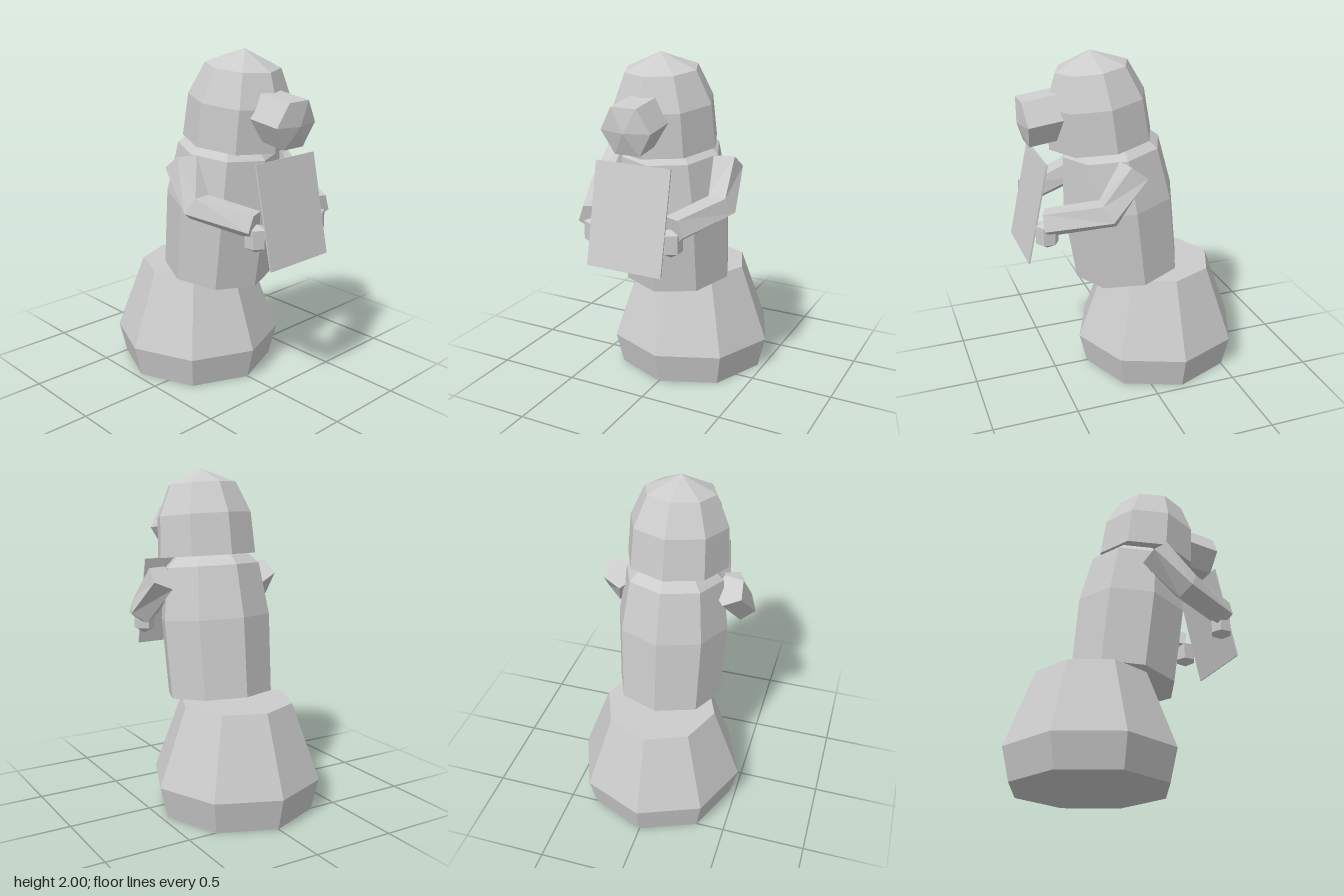
import * as THREE from 'three';

const stone = new THREE.MeshStandardMaterial({ color: 0xcccccc, flatShading: true });
stone.name = 'pale grey';

function add(parent, name, geometry, position = [0, 0, 0], tilt = 0) {
  const mesh = new THREE.Mesh(geometry, stone);
  mesh.name = name;
  mesh.position.set(...position);
  mesh.rotation.x = tilt;
  parent.add(mesh);
  return mesh;
}

// Faceted solid of revolution from [radius, height] pairs, bottom to top
function turned(profile, sides) {
  return new THREE.LatheGeometry(profile.map(([r, y]) => new THREE.Vector2(r, y)), sides);
}

// Five-sided limb through [x, y, z, radius] stations, flat side up
function limb(stations, sides = 5) {
  const points = stations.map(([x, y, z]) => new THREE.Vector3(x, y, z));
  const vertices = [], index = [];
  points.forEach((p, i) => {
    const before = points[Math.max(i - 1, 0)], after = points[Math.min(i + 1, points.length - 1)];
    const t = new THREE.Vector3();
    if (i > 0) t.add(p.clone().sub(before).normalize());
    if (i < points.length - 1) t.add(after.clone().sub(p).normalize());
    t.normalize();
    const u = new THREE.Vector3(0, 1, 0).addScaledVector(t, -t.y).normalize();
    const v = t.clone().cross(u);
    for (let k = 0; k < sides; k++) {
      const a = (k + 0.5) / sides * Math.PI * 2, r = stations[i][3];
      const q = p.clone().addScaledVector(u, r * Math.cos(a)).addScaledVector(v, r * Math.sin(a));
      vertices.push(q.x, q.y, q.z);
    }
  });
  for (let i = 0; i < points.length - 1; i++) {
    for (let k = 0; k < sides; k++) {
      const a = i * sides + k, b = i * sides + (k + 1) % sides;
      index.push(a, b, b + sides, a, b + sides, a + sides);
    }
  }
  // end caps
  const last = (points.length - 1) * sides;
  for (let k = 1; k < sides - 1; k++) {
    index.push(0, k + 1, k, last, last + k, last + k + 1);
  }
  const geometry = new THREE.BufferGeometry();
  geometry.setAttribute('position', new THREE.Float32BufferAttribute(vertices, 3));
  geometry.setIndex(index);
  geometry.computeVertexNormals();
  return geometry;
}

export function createModel() {
  const model = new THREE.Group();
  model.name = 'figure';

  // Flared base
  add(model, 'base', turned([[0, 0], [0.465, 0], [0.51, 0.19], [0.34, 0.65], [0, 0.65]], 8), [0, 0, -0.175]);

  // Torso and head lean slightly forward
  add(model, 'torso', turned([[0, 0], [0.325, 0], [0.34, 0.468], [0.295, 0.777], [0.2, 0.865], [0, 0.865]], 8),
    [0, 0.654, 0.018], 0.122);
  add(model, 'head', turned([[0, 0], [0.309, 0], [0.295, 0.245], [0.213, 0.43], [0, 0.522]], 8),
    [0, 1.479, 0.177], 0.113);

  // Six-sided snout with a shallow point
  add(model, 'snout', turned([[0, 0], [0.15, 0], [0.15, 0.26], [0, 0.292]], 6).rotateY(Math.PI / 6),
    [0, 1.658, 0.374], Math.PI / 2 + 0.128);

  // Bent arms and small hands
  for (const s of [1, -1]) {
    const side = s > 0 ? 'left' : 'right';
    add(model, side + 'Arm', limb([
      [s * 0.335, 1.377, 0.089, 0.1],
      [s * 0.382, 1.169, 0.262, 0.092],
      [s * 0.252, 1.11, 0.582, 0.083],
    ]));
    add(model, side + 'Hand', turned([[0, 0], [0.065, 0.035], [0.065, 0.14], [0, 0.16]], 6),
      [s * 0.235, 0.95, 0.575]);
  }

  // Thin board held in front
  add(model, 'board', new THREE.BoxGeometry(0.46, 0.585, 0.009), [0, 1.148, 0.62], -0.215);

  return model;
}
